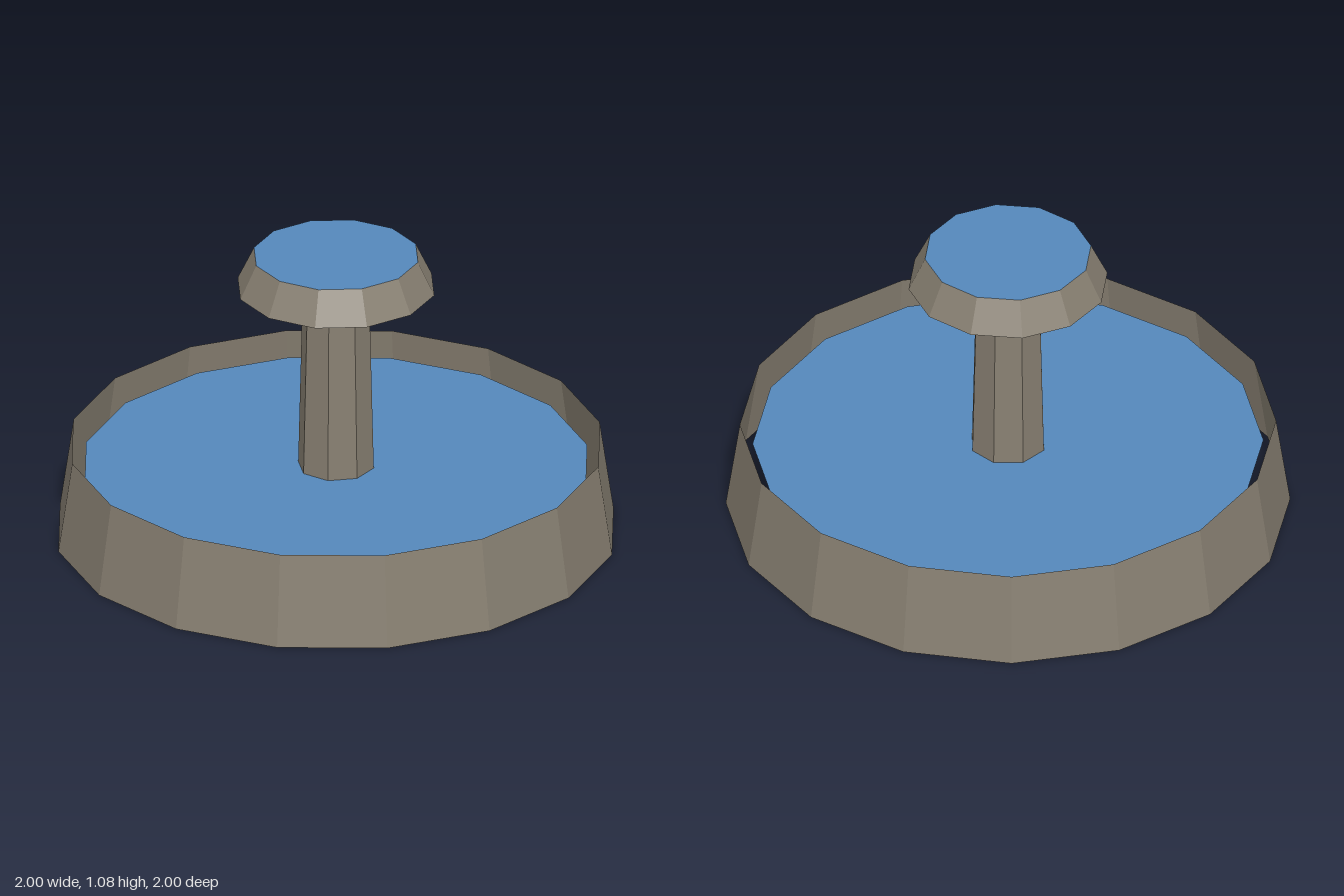
import * as THREE from 'three';

export function createModel() {
  const group = new THREE.Group();
  const stone = new THREE.MeshStandardMaterial({ color: 0x888072, flatShading: true, side: THREE.DoubleSide });
  stone.name = 'stone';
  const water = new THREE.MeshStandardMaterial({ color: 0x5588bb, flatShading: true, side: THREE.DoubleSide });
  water.name = 'water';

  // Open tapered ring of flat walls from y0 to y1
  function wall(name, topRadius, bottomRadius, y0, y1, sides) {
    const geometry = new THREE.CylinderGeometry(topRadius, bottomRadius, y1 - y0, sides, 1, true);
    const mesh = new THREE.Mesh(geometry, stone);
    mesh.name = name;
    mesh.position.y = (y0 + y1) / 2;
    group.add(mesh);
  }

  // Horizontal sheet of water
  function pool(name, radius, y, sides) {
    const geometry = new THREE.CircleGeometry(radius, sides).rotateX(-Math.PI / 2);
    const mesh = new THREE.Mesh(geometry, water);
    mesh.name = name;
    mesh.position.y = y;
    group.add(mesh);
  }

  // Lower basin, its water set below the rim
  wall('basinWall', 0.95, 1, 0, 0.34, 16);
  pool('basinWater', 0.905, 0.255, 16);

  // Central column
  wall('column', 0.12, 0.143, 0, 0.955, 8);

  // Upper bowl, closed by water level with its rim
  wall('upperBowl', 0.297, 0.356, 0.953, 1.077, 12);
  pool('upperWater', 0.297, 1.077, 12);

  return group;
}
